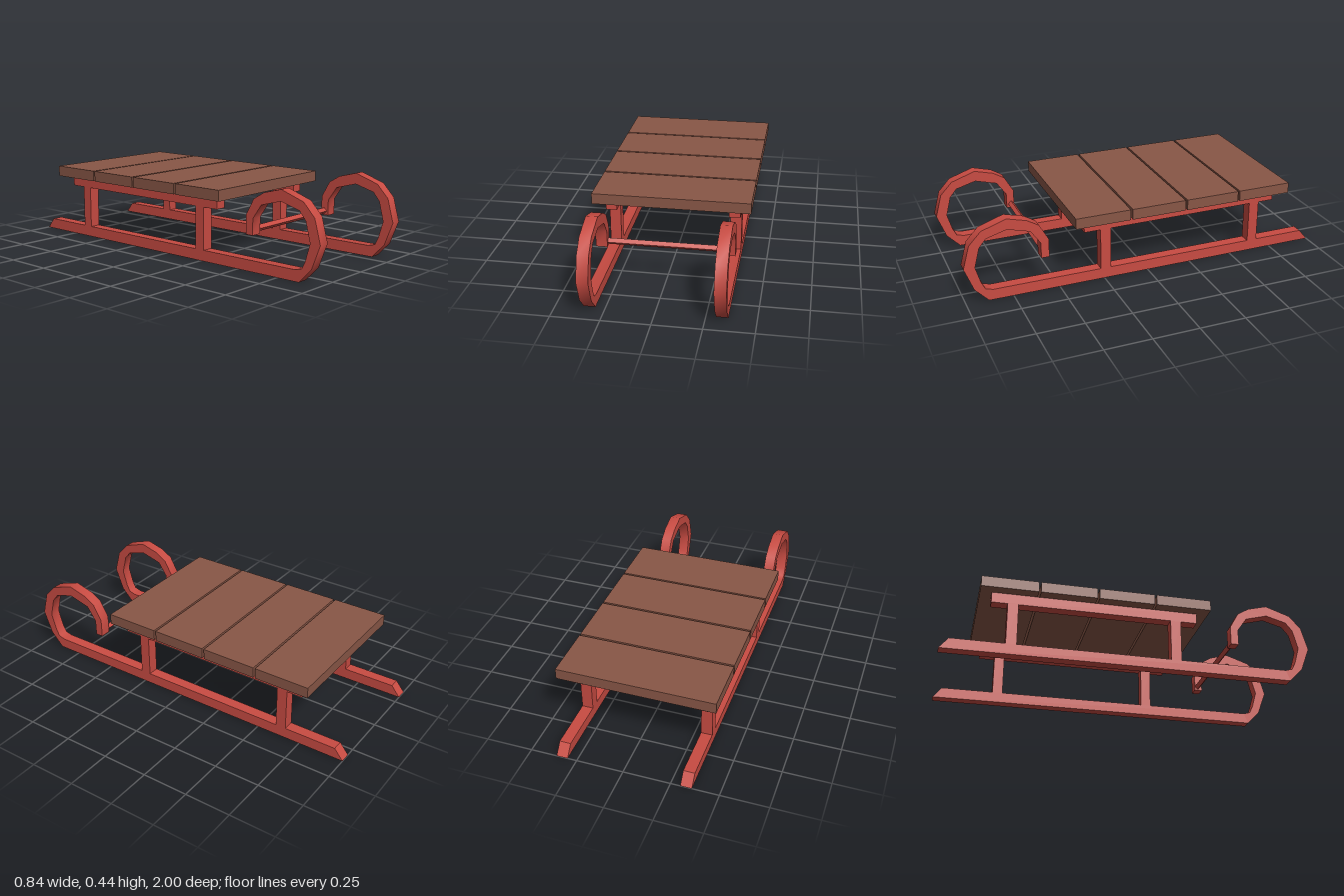
import * as THREE from 'three';
import { toCreasedNormals } from 'three/addons/utils/BufferGeometryUtils.js';

export function createModel() {
  const red = new THREE.MeshStandardMaterial({ color: 0xc84b42 });
  red.name = 'red paint';
  const wood = new THREE.MeshStandardMaterial({ color: 0x885646 });
  wood.name = 'brown wood';

  const sled = new THREE.Group();
  sled.name = 'sled';

  // Box given by its x, y and z extents
  function addBox(name, material, [x0, x1], [y0, y1], [z0, z1]) {
    const mesh = new THREE.Mesh(new THREE.BoxGeometry(x1 - x0, y1 - y0, z1 - z0), material);
    mesh.position.set((x0 + x1) / 2, (y0 + y1) / 2, (z0 + z1) / 2);
    mesh.name = name;
    sled.add(mesh);
  }

  // Runner side profile (z, y): outer curl, then back along the inner curl
  const profile = [
    [-1, 0], [0.88, 0], [0.952, 0.075], [1, 0.2], [0.965, 0.326], [0.9, 0.395],
    [0.767, 0.44], [0.663, 0.412], [0.6, 0.374], [0.552, 0.289], [0.552, 0.187],
    [0.595, 0.187], [0.595, 0.273], [0.647, 0.348], [0.767, 0.381], [0.877, 0.35],
    [0.914, 0.305], [0.941, 0.2], [0.915, 0.11], [0.895, 0.07], [0.856, 0.059], [-0.952, 0.059],
  ].map(([z, y]) => new THREE.Vector2(z, y));
  const runner = toCreasedNormals(
    new THREE.ExtrudeGeometry(new THREE.Shape(profile), { depth: 0.06, bevelEnabled: false })
      .translate(0, 0, -0.03)
      .rotateY(-Math.PI / 2),
    0.85
  );

  // Runner, posts and seat rail on each side
  for (const [side, cx] of [['left', 0.33], ['right', -0.33]]) {
    const mesh = new THREE.Mesh(runner, red);
    mesh.position.x = cx;
    mesh.name = side + 'Runner';
    sled.add(mesh);
    const width = [cx - 0.03, cx + 0.03];
    addBox(side + 'FrontPost', red, width, [0.059, 0.288], [0.213, 0.27]);
    addBox(side + 'RearPost', red, width, [0.059, 0.288], [-0.666, -0.609]);
    addBox(side + 'SeatRail', red, width, [0.288, 0.345], [-0.752, 0.36]);
  }

  // Seat planks
  for (let i = 0; i < 4; i++) {
    const front = 0.424 - i * 0.312;
    addBox('seatPlank' + (i + 1), wood, [-0.42, 0.42], [0.345, 0.403], [front - 0.301, front]);
  }

  // Thin diamond-section crossbar between the curl tips
  const bar = new THREE.Mesh(
    toCreasedNormals(new THREE.CylinderGeometry(0.0175, 0.0175, 0.6, 4).rotateZ(Math.PI / 2), 0.5),
    red
  );
  bar.position.set(0, 0.21, 0.569);
  bar.name = 'crossbar';
  sled.add(bar);

  return sled;
}
